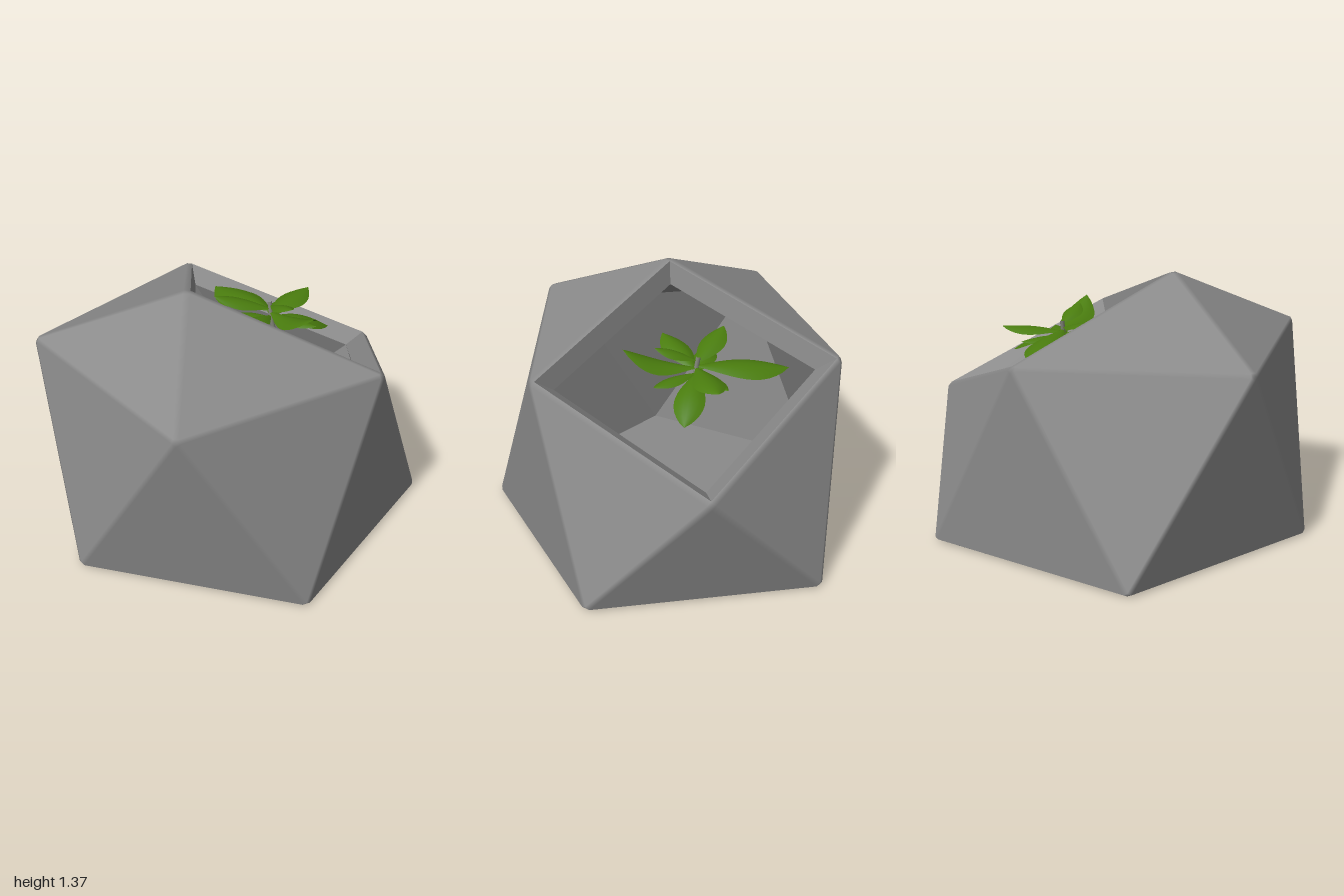
import * as THREE from 'three';

const V = (x, y, z) => new THREE.Vector3(x, y, z);

// Corners of the faceted pot; upper case letters are the mirror images at -z
const OUTER = {
  0: V(-0.28, 1.38, 0), 1: V(1.005, 0.67, 0), 2: V(-1.01, 0, 0),
  a: V(-0.815, 1.03, 0.605), b: V(0.33, 1.03, 0.79),
  c: V(-0.3, 0, 0.975), d: V(0.85, 0, 0.605),
};
const CENTRE = V(0.017, 0.51, 0);
const INNER = {};
for (const k in OUTER) INNER[k] = OUTER[k].clone().sub(CENTRE).multiplyScalar(0.844).add(CENTRE);
INNER.a.set(-0.62, 1.02, 0.5);
for (const set of [OUTER, INNER]) {
  for (const k of 'abcd') set[k.toUpperCase()] = set[k].clone().multiply(V(1, 1, -1));
}

const OPENING = '0b1B';
const sides = ['0ab', 'a2c', 'acb', 'bcd', 'bd1'];
const FACES = [...sides, ...sides.map((f) => f.toUpperCase()), '0aA', 'aA2', '1dD', '2cdDC', OPENING];

const centroid = (pts) => pts.reduce((s, p) => s.add(p), V(0, 0, 0)).divideScalar(pts.length);
const normalOf = (p) => p[1].clone().sub(p[0]).cross(p[2].clone().sub(p[0])).normalize();

// Collects polygons of {p, n} corners as fans
class Builder {
  constructor() { this.pos = []; this.nor = []; }
  fan(corners) {
    for (let i = 1; i < corners.length - 1; i++) {
      for (const c of [corners[0], corners[i], corners[i + 1]]) {
        this.pos.push(c.p.x, c.p.y, c.p.z);
        this.nor.push(c.n.x, c.n.y, c.n.z);
      }
    }
  }
  flat(pts) {
    const n = normalOf(pts);
    this.fan(pts.map((p) => ({ p, n })));
  }
  geometry() {
    const g = new THREE.BufferGeometry();
    g.setAttribute('position', new THREE.Float32BufferAttribute(this.pos, 3));
    g.setAttribute('normal', new THREE.Float32BufferAttribute(this.nor, 3));
    return g;
  }
}

// Face keys in counter-clockwise order seen from outside
function oriented(face) {
  const keys = [...face];
  const pts = keys.map((k) => OUTER[k]);
  return normalOf(pts).dot(centroid(pts).sub(CENTRE)) < 0 ? keys.reverse() : keys;
}

function buildPot() {
  const shell = new Builder();
  const cavity = new Builder();
  const edges = {};
  const faces = FACES.map((name) => {
    const keys = oriented(name);
    const pts = keys.map((k) => OUTER[k]);
    const mid = centroid(pts);
    const n = normalOf(pts);
    const corner = {};
    keys.forEach((k) => {
      const p = OUTER[k].clone();
      corner[k] = { p: p.add(mid.clone().sub(p).setLength(0.028)), n };
    });
    const face = { name, keys, corner };
    keys.forEach((k, i) => { edges[k + keys[(i + 1) % keys.length]] = face; });
    return face;
  });

  // Flat facets outside, and the facets of the hollow inside
  for (const f of faces) {
    if (f.name === OPENING) continue;
    shell.fan(f.keys.map((k) => f.corner[k]));
    cavity.flat(f.keys.map((k) => INNER[k]).reverse());
  }
  // Soft strips along the edges
  for (const e in edges) {
    const [i, j] = e;
    if (i > j) continue;
    const f = edges[i + j], g = edges[j + i];
    shell.fan([f.corner[i], g.corner[i], g.corner[j], f.corner[j]]);
  }
  // Small caps on the corners
  for (const v in OUTER) {
    const start = faces.find((f) => f.keys.includes(v));
    const ring = [];
    let f = start;
    do {
      ring.push(f.corner[v]);
      const k = f.keys;
      f = edges[v + k[(k.indexOf(v) + k.length - 1) % k.length]];
    } while (f !== start);
    shell.fan(ring);
  }
  // Walls from the rim down to the hollow
  const rim = faces.find((f) => f.name === OPENING);
  rim.keys.forEach((k, i) => {
    const m = rim.keys[(i + 1) % rim.keys.length];
    cavity.flat([rim.corner[k].p, rim.corner[m].p, INNER[m], INNER[k]]);
  });
  return { shell: shell.geometry(), cavity: cavity.geometry() };
}

// Cupped leaf blade from base to tip
function leafGeometry(base, tip, width, arch) {
  const g = new THREE.PlaneGeometry(2, 1, 6, 12);
  const dir = tip.clone().sub(base);
  const side = dir.clone().cross(V(0, 1, 0)).normalize();
  const up = side.clone().cross(dir).normalize();
  const pos = g.attributes.position;
  for (let i = 0; i < pos.count; i++) {
    const s = pos.getX(i);
    const t = pos.getY(i) + 0.5;
    const w = (width / 2) * (0.06 * (1 - t) + Math.pow(Math.sin(Math.PI * Math.pow(t, 1.25)), 0.85));
    const p = base.clone()
      .addScaledVector(dir, t)
      .addScaledVector(side, s * w)
      .addScaledVector(up, arch * Math.sin(Math.PI * t) - 0.35 * w * s * s);
    pos.setXYZ(i, p.x, p.y, p.z);
  }
  g.computeVertexNormals();
  return g;
}

export function createModel() {
  const concrete = new THREE.MeshStandardMaterial({ color: 0x8a8a8a });
  concrete.name = 'concrete grey';
  const green = new THREE.MeshStandardMaterial({ color: 0x4a7d0e, side: THREE.DoubleSide });
  green.name = 'leaf green';
  const pale = new THREE.MeshStandardMaterial({ color: 0x85887c });
  pale.name = 'stem grey';

  const model = new THREE.Group();
  model.name = 'planter';
  const add = (parent, name, geometry, material) => {
    const mesh = new THREE.Mesh(geometry, material);
    mesh.name = name;
    parent.add(mesh);
  };

  const pot = buildPot();
  add(model, 'potShell', pot.shell, concrete);
  add(model, 'potCavity', pot.cavity, concrete);

  const plant = new THREE.Group();
  plant.name = 'plant';
  model.add(plant);
  const stem = new THREE.CatmullRomCurve3([V(0.32, 0.93, -0.03), V(0.31, 1.0, -0.04), V(0.31, 1.09, -0.055)]);
  add(plant, 'stem', new THREE.TubeGeometry(stem, 8, 0.012, 7), pale);

  // Leaf tip x, y, z, base height, width, arch
  const leaves = [
    [0.31, 0.99, -0.52, 1.04, 0.21, 0.02],
    [0.29, 1.15, 0.32, 1.03, 0.17, -0.02],
    [0.0, 1.08, 0.08, 1.01, 0.14, 0.02],
    [0.63, 0.88, 0.07, 1.0, 0.15, 0.03],
    [0.63, 1.05, -0.1, 1.03, 0.15, 0.01],
    [0.07, 1.13, -0.23, 1.05, 0.13, 0.01],
    [0.08, 1.02, -0.16, 1.0, 0.12, 0.02],
    [0.43, 1.0, 0.19, 1.0, 0.09, 0.01],
    [0.5, 0.99, -0.17, 1.0, 0.1, 0.01],
    [0.28, 1.14, 0.16, 1.07, 0.1, 0.01],
  ];
  for (const [x, y, z, h, width, arch] of leaves) {
    add(plant, 'leaf', leafGeometry(V(0.31, h, -0.045), V(x, y, z), width, arch), green);
  }
  return model;
}
